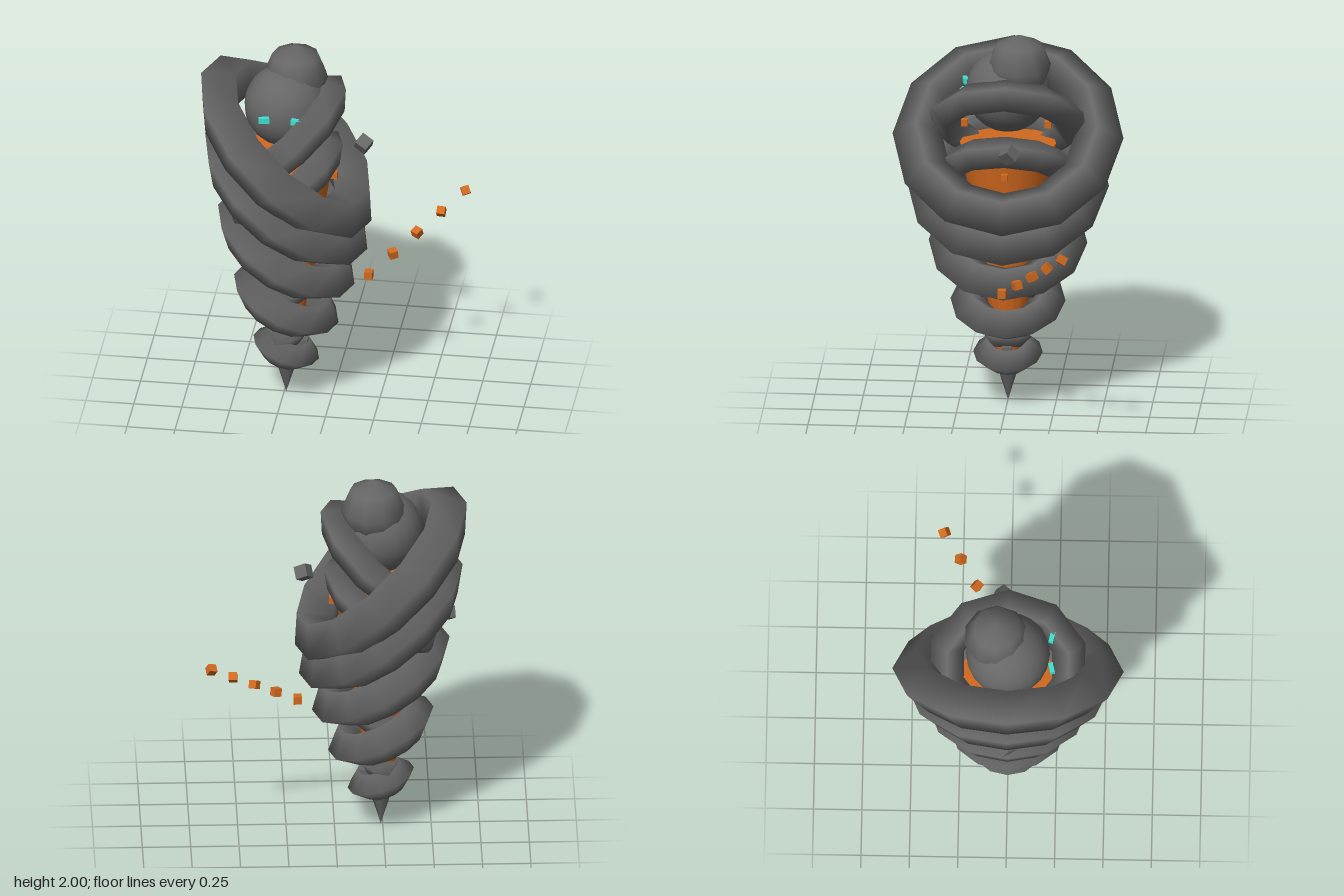
import * as THREE from 'three';

export function createModel() {
  const model = new THREE.Group();
  const mat = (name, color) => {
    const m = new THREE.MeshStandardMaterial({ color });
    m.name = name;
    return m;
  };
  const grey = mat('stormGrey', 0x666666);
  const orange = mat('emberOrange', 0xd2691e);
  const teal = mat('eyeTurquoise', 0x40e0d0);

  // Everything but the trail hangs on one vertical axis
  const body = new THREE.Group();
  body.name = 'whirlwind';
  body.position.x = -0.24;
  model.add(body);

  const add = (name, geometry, material, x, y, z, parent = body) => {
    const mesh = new THREE.Mesh(geometry, material);
    mesh.name = name;
    mesh.position.set(x, y, z);
    parent.add(mesh);
    return mesh;
  };
  const cube = (s) => new THREE.BoxGeometry(s, s, s);

  // Diamond-section ring lying flat, then tilted about z
  const ring = (name, outer, tube, segments, y, tilt) => {
    const g = new THREE.TorusGeometry(outer - tube, tube, 4, segments);
    g.rotateX(Math.PI / 2);
    add(name, g, grey, 0, y, 0).rotation.z = THREE.MathUtils.degToRad(tilt);
  };

  // Funnel rings: a large one, a smaller counter-tilted one and a bit of debris each
  const levels = [
    { y: 0.262, outer: 0.18, tube: 0.077 },
    { y: 0.545, outer: 0.298, tube: 0.1 },
    { y: 0.862, outer: 0.411, tube: 0.112 },
    { y: 1.175, outer: 0.523, tube: 0.121 },
    { y: 1.435, outer: 0.598, tube: 0.128 },
  ];
  levels.forEach(({ y, outer, tube }, i) => {
    const tilt = 18 + 6 * i;
    ring('outerRing', outer, tube, 12, y, -tilt);
    ring('innerRing', outer * 0.7, tube * 0.7, 10, y + 0.08, tilt);
    const side = i % 2 ? -1 : 1;
    const debris = add('debris', cube(0.052 + 0.004 * i), grey,
      side * (outer - tube) * 0.85, y + 0.03, i === 4 ? -0.035 : 0);
    if (i > 0) debris.rotation.set(0.15 * i, 0.5 * i + 0.6, 0.05 * i);
  });

  // Glowing core and the spike it stands on
  add('core', new THREE.CylinderGeometry(0.25, 0.05, 1.2, 16), orange, 0, 0.8, 0);
  const spike = new THREE.ConeGeometry(0.08, 0.26, 8);
  spike.rotateX(Math.PI);
  add('spike', spike, grey, 0, 0.13, 0);

  // Embers circling the core at alternating heights
  for (let i = 0; i < 6; i++) {
    const a = (i * Math.PI) / 3;
    add('ember', cube(0.035), orange,
      0.25 * Math.cos(a), i % 2 ? 1.545 : 1.29, 0.25 * Math.sin(a));
  }

  // Head, hair tuft and slanted eyes
  add('head', new THREE.SphereGeometry(0.217, 20, 14), grey, 0, 1.685, 0);
  add('tuft', new THREE.SphereGeometry(0.17, 10, 4), grey, 0.04, 1.83, -0.06);
  for (const s of [-1, 1]) {
    const eye = add('eye', new THREE.BoxGeometry(0.055, 0.03, 0.024), teal, s * 0.085, 1.705, 0.226);
    eye.rotation.y = -s * 0.22;
  }

  // Trail of sparks flung off to the back
  for (let i = 0; i < 5; i++) {
    const spark = add('spark', cube(0.043), orange,
      0.19 + 0.114 * i, 0.718 + 0.086 * i, -0.086 * i, model);
    spark.rotation.set(0.15 * i, 0.5 * i, 0.1 * i);
  }
  return model;
}
